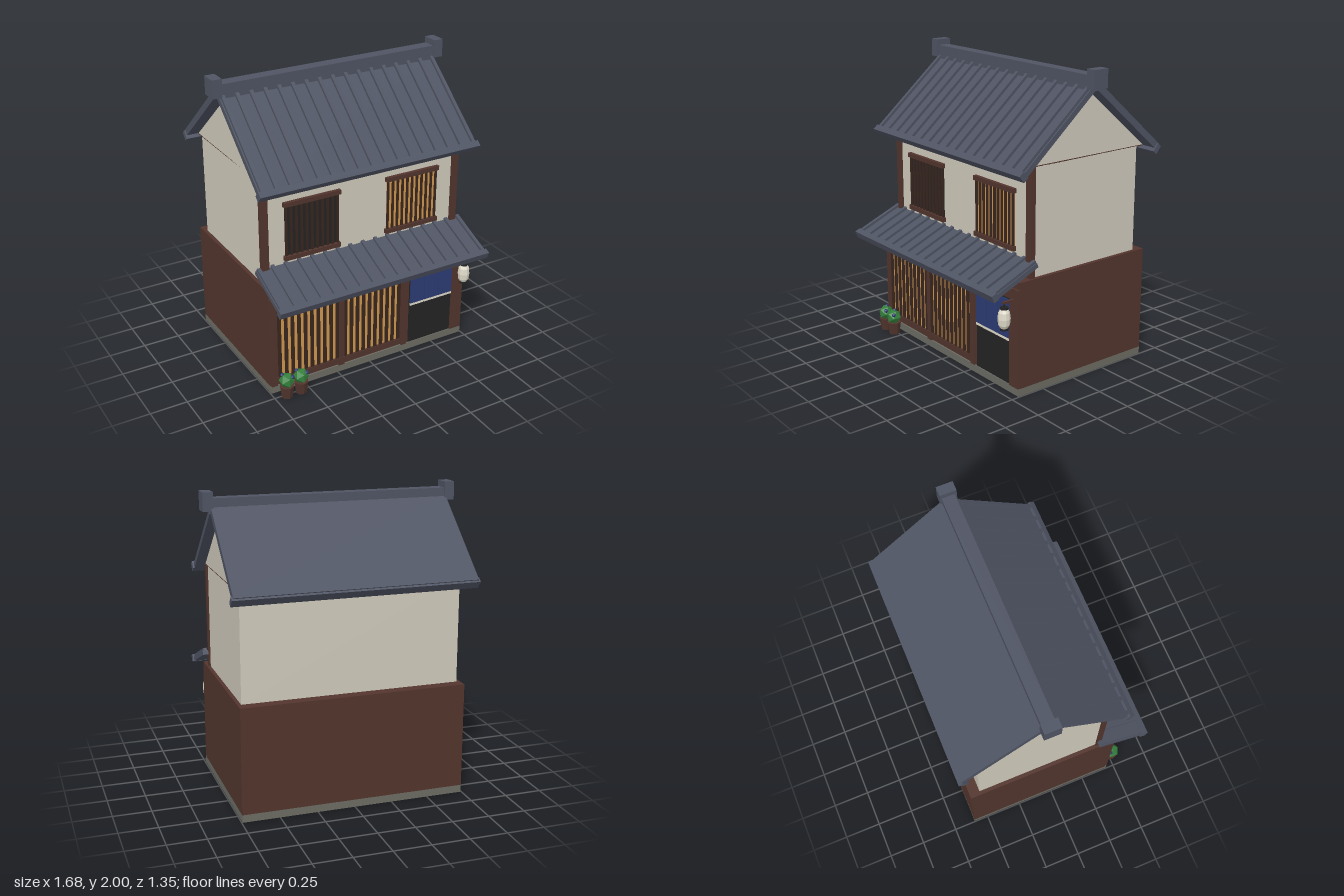
import * as THREE from 'three';

const mat = (name, color) => {
  const m = new THREE.MeshStandardMaterial({ color, flatShading: true });
  m.name = name;
  return m;
};

export function createModel() {
  const model = new THREE.Group();
  model.name = 'townhouse';

  const plaster = mat('plaster', 0xd0cabb);
  const wood = mat('wood', 0x52352d);
  const darkWood = mat('dark wood', 0x3a261f);
  const slate = mat('roof slate', 0x4f5463);
  const amber = mat('amber screen', 0xcf9850);
  const black = mat('black', 0x232323);
  const blue = mat('indigo', 0x2c3b72);
  const cream = mat('cream paper', 0xe0dbca);
  const stone = mat('stone', 0x6b6b63);
  const green = mat('leaf green', 0x347f3c);

  const add = (name, geometry, material, parent = model) => {
    const m = new THREE.Mesh(geometry, material);
    m.name = name;
    parent.add(m);
    return m;
  };
  // Box given by its extents on each axis
  const box = (name, material, x0, x1, y0, y1, z0, z1, parent = model) => {
    const m = add(name, new THREE.BoxGeometry(x1 - x0, y1 - y0, z1 - z0), material, parent);
    m.position.set((x0 + x1) / 2, (y0 + y1) / 2, (z0 + z1) / 2);
    return m;
  };
  // Evenly spaced upright bars
  const bars = (name, material, count, x0, x1, width, y0, y1, z0, z1) => {
    for (let i = 0; i < count; i++) {
      const x = x0 + (x1 - x0) * i / (count - 1);
      box(name, material, x - width / 2, x + width / 2, y0, y1, z0, z1);
    }
  };

  // Foundation and the two storeys
  box('foundation', stone, -0.745, 0.745, 0, 0.05, -0.6, 0.445);
  box('lowerStorey', wood, -0.745, 0.745, 0.05, 0.75, -0.6, 0.435);
  box('upperStorey', plaster, -0.72, 0.72, 0.75, 1.45, -0.53, 0.33);
  box('atticFloor', wood, -0.72, 0.72, 1.443, 1.45, -0.585, 0.375);

  // Attic prism closing both gables
  const gable = new THREE.Shape([
    new THREE.Vector2(-0.385, 1.45), new THREE.Vector2(0.585, 1.45), new THREE.Vector2(0.1, 1.86),
  ]);
  const attic = add('gableAttic',
    new THREE.ExtrudeGeometry(gable, { depth: 1.44, bevelEnabled: false }), plaster);
  attic.rotation.y = Math.PI / 2;
  attic.position.x = -0.72;

  // Sloping roof: local z runs down the slope, local y is its normal
  const roof = (name, half, length, thick, y, z, angle, back) => {
    const turn = new THREE.Group();
    turn.name = name;
    turn.position.set(0, y, z);
    if (back) turn.rotation.y = Math.PI;
    model.add(turn);
    const slope = new THREE.Group();
    slope.rotation.x = angle;
    turn.add(slope);
    box(name + 'Slab', slate, -half, half, 0, thick, 0, length - 0.01, slope);
    return slope;
  };
  const ribs = (slope, count, reach, y0, y1, z0, z1) => {
    for (let i = 0; i < count; i++) {
      const x = -reach + 2 * reach * i / (count - 1);
      box('tileRib', slate, x - 0.012, x + 0.012, y0, y1, z0, z1, slope);
    }
  };
  const pitch = Math.atan2(0.65, 0.76);
  const front = roof('frontRoof', 0.787, 0.727, 0.035, 1.86, -0.1, pitch, false);
  ribs(front, 17, 0.766, 0.03, 0.053, 0, 0.7);
  box('frontEave', slate, -0.797, 0.797, 0, 0.055, 0.685, 0.727, front);

  const back = roof('backRoof', 0.787, 0.72, 0.043, 1.882, -0.1, pitch, true);
  box('backEave', slate, -0.797, 0.797, -0.025, 0.036, 0.69, 0.724, back);

  const canopy = roof('canopy', 0.77, 0.373, 0.03, 0.833, 0.315, 0.4, false);
  ribs(canopy, 17, 0.752, 0.025, 0.047, 0, 0.345);
  box('canopyEave', slate, -0.778, 0.778, -0.002, 0.047, 0.333, 0.373, canopy);

  // Ridge with end blocks
  box('ridge', slate, -0.785, 0.785, 1.86, 1.96, -0.14, -0.055);
  for (const s of [-1, 1]) {
    box('ridgeEnd', slate, s * 0.807 - 0.033, s * 0.807 + 0.033, 1.88, 2, -0.15, -0.04);
    box('upperPost', wood, s * 0.708 - 0.024, s * 0.708 + 0.024, 0.75, 1.45, 0.31, 0.346);
  }

  // Upper windows
  for (const [x, panel] of [[-0.375, black], [0.37, amber]]) {
    box('windowPanel', panel, x - 0.19, x + 0.19, 0.9, 1.27, 0.328, 0.335);
    bars('windowBar', darkWood, 11, x - 0.185, x + 0.185, 0.013, 0.91, 1.26, 0.335, 0.347);
    for (const y of [0.9, 1.27]) {
      box('windowRail', wood, x - 0.202, x + 0.202, y - 0.015, y + 0.015, 0.328, 0.355);
    }
  }

  // Shopfront lattice
  for (const [x0, x1] of [[-0.685, -0.245], [-0.2, 0.23]]) {
    box('latticePanel', amber, x0, x1, 0.1, 0.62, 0.433, 0.439);
    bars('latticeBar', darkWood, 10, x0 + 0.008, x1 - 0.008, 0.022, 0.1, 0.62, 0.438, 0.449);
  }
  box('latticeTopRail', wood, -0.7, 0.235, 0.612, 0.637, 0.435, 0.453);
  box('latticeBottomRail', wood, -0.7, 0.235, 0.08, 0.11, 0.435, 0.453);
  for (const x of [-0.72, -0.222, 0.27, 0.677, 0.722]) {
    box('frontPost', wood, x - 0.021, x + 0.021, 0.05, 0.7, 0.43, 0.449);
  }

  // Doorway and split curtain
  box('door', black, 0.31, 0.655, 0.05, 0.62, 0.433, 0.439);
  for (let i = 0; i < 3; i++) {
    const x = 0.314 + i * 0.114;
    box('curtainPanel', blue, x, x + 0.109, 0.36, 0.615, 0.441, 0.449);
    box('curtainHem', cream, x, x + 0.109, 0.343, 0.36, 0.441, 0.449);
  }

  // Paper lantern on a bracket
  const lantern = new THREE.Group();
  lantern.name = 'lantern';
  lantern.position.set(0.695, 0, 0.52);
  model.add(lantern);
  box('lanternBracket', wood, -0.008, 0.008, 0.622, 0.636, -0.085, 0.01, lantern);
  box('lanternCord', black, -0.003, 0.003, 0.59, 0.625, -0.003, 0.003, lantern);
  const profile = [[0.022, 0.463], [0.036, 0.487], [0.041, 0.527], [0.036, 0.568], [0.022, 0.592]]
    .map(([r, y]) => new THREE.Vector2(r, y));
  add('lanternPaper', new THREE.LatheGeometry(profile, 10), cream, lantern);
  for (const y of [0.46, 0.595]) {
    add('lanternCap', new THREE.CylinderGeometry(0.026, 0.026, 0.013, 10), black, lantern)
      .position.y = y;
  }

  // Potted plants with small blossoms
  for (const x of [-0.668, -0.565]) {
    const plant = new THREE.Group();
    plant.name = 'pottedPlant';
    plant.position.set(x, 0, 0.515);
    model.add(plant);
    add('pot', new THREE.CylinderGeometry(0.049, 0.037, 0.085, 8), wood, plant).position.y = 0.0425;
    add('foliage', new THREE.IcosahedronGeometry(0.053, 0), green, plant).position.y = 0.122;
    for (const [bx, by, bz] of [[0.032, 0.147, 0.02], [-0.022, 0.158, -0.02]]) {
      add('blossom', new THREE.IcosahedronGeometry(0.015, 0), blue, plant).position.set(bx, by, bz);
    }
  }

  return model;
}
